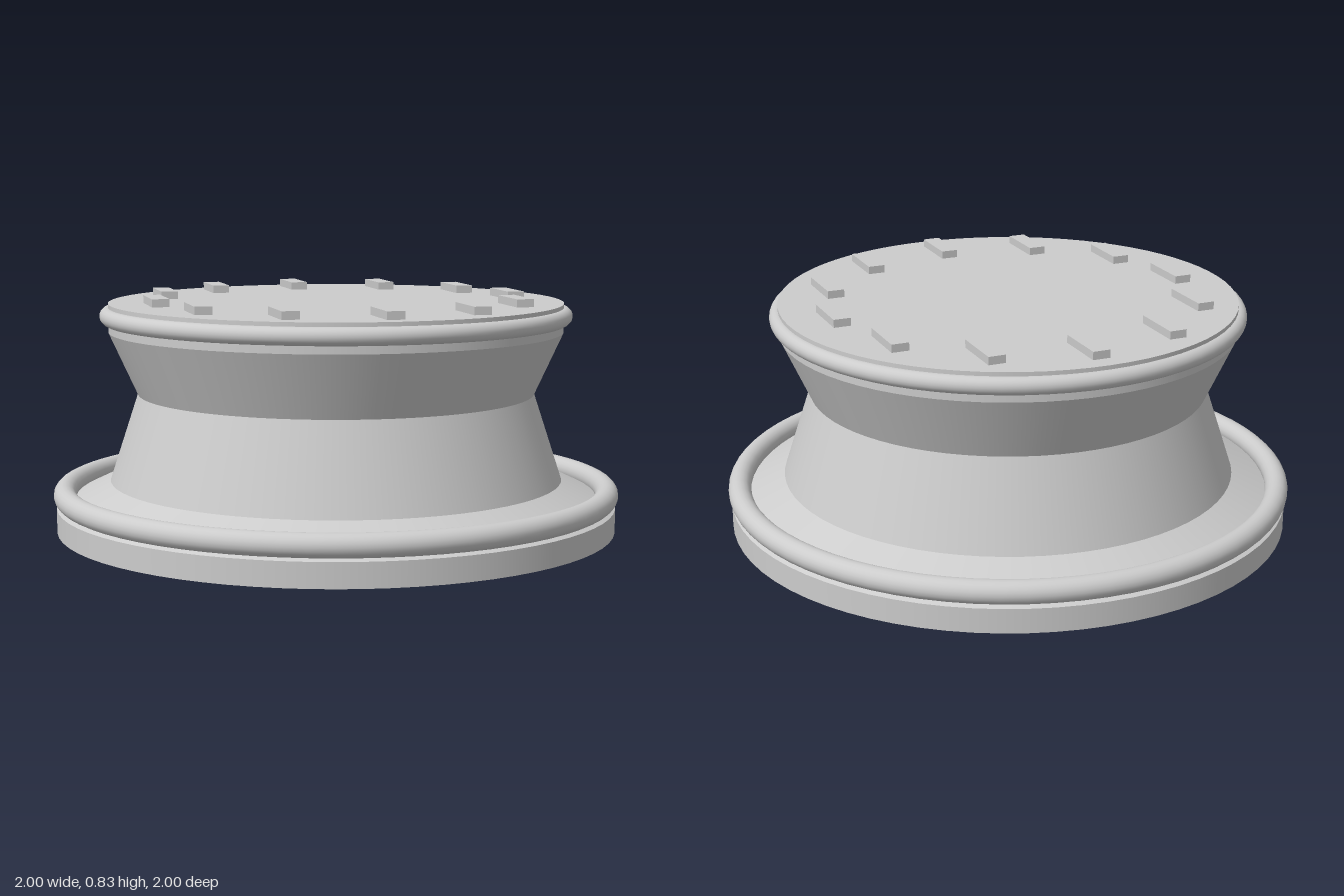
import * as THREE from 'three';

export function createModel() {
  const model = new THREE.Group();
  const grey = new THREE.MeshStandardMaterial({ color: 0xcccccc });
  grey.name = 'grey';
  const SIDES = 72;

  const add = (name, geometry, x = 0, y = 0, z = 0) => {
    const mesh = new THREE.Mesh(geometry, grey);
    mesh.name = name;
    mesh.position.set(x, y, z);
    model.add(mesh);
    return mesh;
  };

  // Round section between two heights, closed only where an end shows
  const section = (name, rBottom, yBottom, rTop, yTop, open = true) =>
    add(name, new THREE.CylinderGeometry(rTop, rBottom, yTop - yBottom, SIDES, 1, open),
      0, (yBottom + yTop) / 2, 0);

  // Rounded ring lying flat around the body
  const ring = (name, radius, tube, y) => {
    const geometry = new THREE.TorusGeometry(radius, tube, 20, SIDES);
    geometry.rotateX(-Math.PI / 2);
    add(name, geometry, 0, y, 0);
  };

  // Base plate, its sloping shoulder and rim
  section('basePlate', 0.99, 0, 0.99, 0.085, false);
  section('baseShoulder', 0.99, 0.085, 0.8, 0.175);
  ring('baseRim', 0.96, 0.04, 0.13);

  // Waisted body
  section('lowerBody', 0.8, 0.175, 0.7, 0.48);
  section('upperBody', 0.7, 0.48, 0.8, 0.7);

  // Top plate and its rim
  section('topPlate', 0.8, 0.7, 0.8, 0.8, false);
  ring('topRim', 0.8, 0.03, 0.756);

  // Twelve parallel raised bars set in a circle
  const bar = new THREE.BoxGeometry(0.06, 0.035, 0.19);
  for (let i = 0; i < 12; i++) {
    const angle = (i / 12) * Math.PI * 2;
    add('topBar' + (i + 1), bar, 0.64 * Math.sin(angle), 0.81, 0.64 * Math.cos(angle));
  }

  return model;
}
